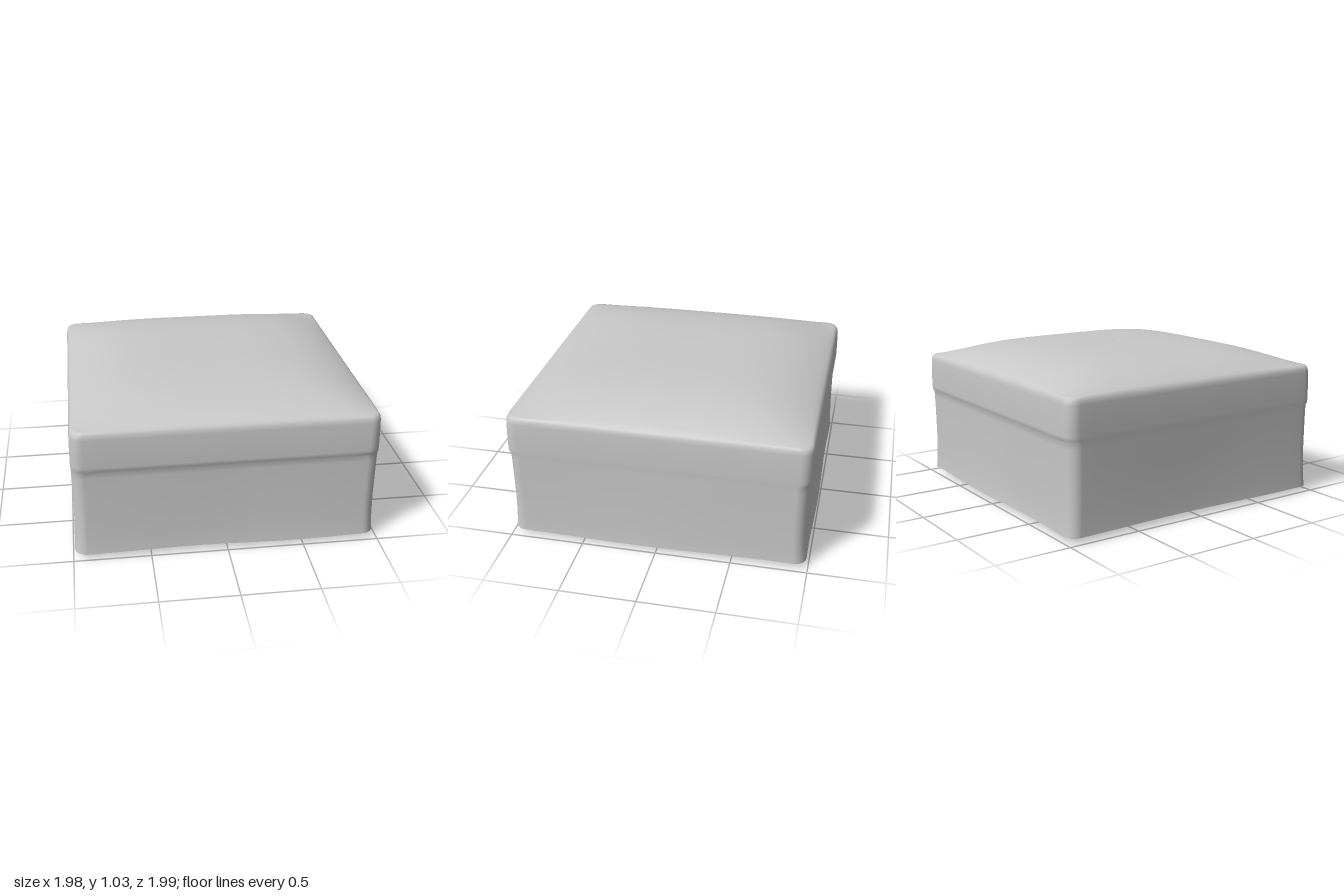
import * as THREE from 'three';

const HALF_X = 0.985, HALF_Z = 0.993, CORNER = 0.08;
const SIDE_STEPS = 18, CORNER_STEPS = 7;

// Rounded-rectangle outline as [x, z] points
function outline() {
  const corners = [[1, 1], [-1, 1], [-1, -1], [1, -1]];
  const arcs = corners.map(([sx, sz], k) => {
    const arc = [];
    for (let i = 0; i <= CORNER_STEPS; i++) {
      const a = (k + i / CORNER_STEPS) * Math.PI / 2;
      arc.push([sx * (HALF_X - CORNER) + CORNER * Math.cos(a), sz * (HALF_Z - CORNER) + CORNER * Math.sin(a)]);
    }
    return arc;
  });
  const points = [];
  arcs.forEach((arc, k) => {
    points.push(...arc);
    const a = arc[arc.length - 1], b = arcs[(k + 1) % 4][0];
    for (let i = 1; i < SIDE_STEPS; i++) {
      const t = i / SIDE_STEPS;
      points.push([a[0] + (b[0] - a[0]) * t, a[1] + (b[1] - a[1]) * t]);
    }
  });
  return points;
}

// Skin a stack of equal-length rings of [x, y, z] points
function loft(rings) {
  const n = rings[0].length, index = [];
  for (let i = 0; i < rings.length - 1; i++) {
    for (let j = 0; j < n; j++) {
      const a = i * n + j, b = i * n + (j + 1) % n;
      index.push(a, a + n, b, b, a + n, b + n);
    }
  }
  const geometry = new THREE.BufferGeometry();
  geometry.setAttribute('position', new THREE.Float32BufferAttribute(rings.flat(2), 3));
  geometry.setIndex(index);
  geometry.computeVertexNormals();
  return geometry;
}

// Fabric cover: hanging skirt, overlapping lid band, rounded edge and domed top
function coverGeometry() {
  const base = outline();
  const rings = [];
  // [height, inset on left and right, inset on front and back]
  const profile = [
    [0.04, 0, 0.004], [0.08, 0.003, 0.008], [0.16, 0.005, 0.013], [0.3, 0.007, 0.016],
    [0.45, 0.005, 0.016], [0.58, 0.003, 0.015], [0.62, 0.002, 0.013], [0.635, 0.001, 0.002],
    [0.66, 0, 0], [0.75, 0, 0], [0.85, 0.002, 0.002], [0.875, 0.006, 0.006], [0.893, 0.015, 0.015],
  ];
  for (const [y, insetX, insetZ] of profile) {
    const loose = Math.max(0, 1 - y / 0.6);
    rings.push(base.map(([x, z]) => {
      const hem = y < 0.1 ? 0.004 * Math.sin(4 * x + 3 * z) : 0;
      const fold = 0.005 * loose * Math.sin(5 * x - 4 * z);
      return [x * (1 - (insetX + fold) / HALF_X), y + hem, z * (1 - (insetZ + fold) / HALF_Z)];
    }));
  }
  const dome = (u) => 1 - Math.abs(u) ** 4;
  for (const t of [0.97, 0.94, 0.9, 0.85, 0.8, 0.72, 0.64, 0.54, 0.42, 0.3, 0.18, 0.08, 0.002]) {
    rings.push(base.map(([x, z]) => [
      x * t, 0.89 + 0.14 * dome(x * t / HALF_X) * dome(z * t / HALF_Z), z * t,
    ]));
  }
  return loft(rings);
}

export function createModel() {
  const group = new THREE.Group();
  const fabric = new THREE.MeshStandardMaterial({ color: 0xc8c8c8, side: THREE.DoubleSide });
  fabric.name = 'grey fabric';

  const cover = new THREE.Mesh(coverGeometry(), fabric);
  cover.name = 'cover';
  group.add(cover);

  // Recessed underside panel
  const panelShape = new THREE.Shape(outline().map(([x, z]) => new THREE.Vector2(x * 0.985, z * 0.98)));
  const panel = new THREE.Mesh(new THREE.ShapeGeometry(panelShape).rotateX(Math.PI / 2), fabric);
  panel.position.y = 0.26;
  panel.name = 'undersidePanel';
  group.add(panel);

  // Four tapered square legs
  const legGeometry = new THREE.CylinderGeometry(0.075 * Math.SQRT2, 0.044 * Math.SQRT2, 0.26, 4, 1)
    .rotateY(Math.PI / 4).toNonIndexed();
  legGeometry.computeVertexNormals();
  for (const sx of [-1, 1]) {
    for (const sz of [-1, 1]) {
      const leg = new THREE.Mesh(legGeometry, fabric);
      leg.position.set(sx * 0.848, 0.13, sz * 0.862);
      leg.name = (sz > 0 ? 'front' : 'back') + (sx > 0 ? 'Left' : 'Right') + 'Leg';
      group.add(leg);
    }
  }
  return group;
}
